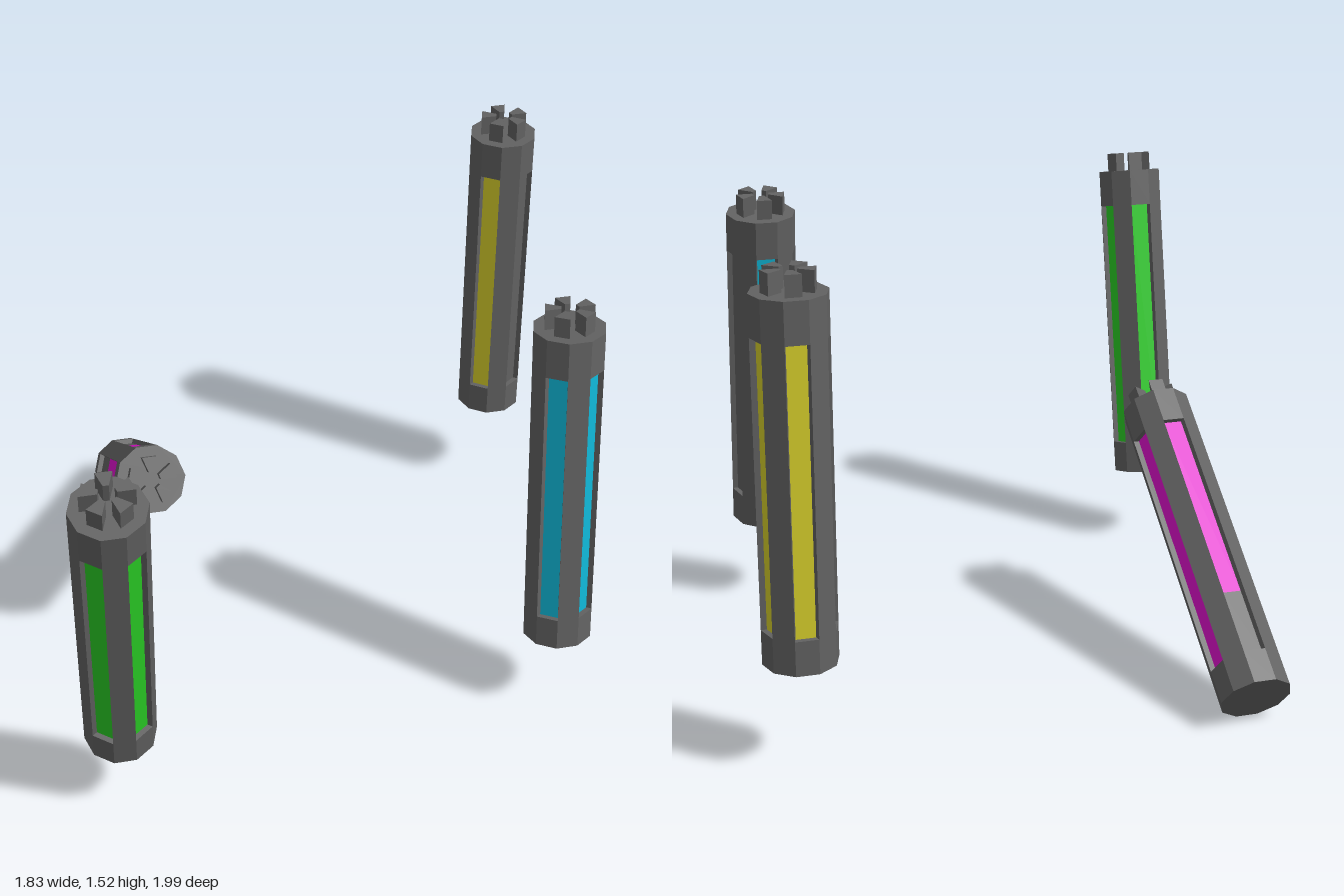
import * as THREE from 'three';

const STEP = Math.PI / 5;          // ten-sided body
const R = 0.115, R_IN = 0.097;     // outer shell and recessed window radius
const LENGTH = 1.122, WIN_LOW = 0.11, WIN_HIGH = 0.995;
const WINDOWS = [1, 3, 5, 7, 9];   // window faces; pillars take the even faces

const mat = (name, color) => {
  const m = new THREE.MeshStandardMaterial({ color });
  m.name = name;
  return m;
};

// Upright prism from [radius, angle] corners, angle measured from +z toward +x
function prism(corners, y0, y1) {
  const shape = new THREE.Shape(
    corners.map(([r, a]) => new THREE.Vector2(r * Math.sin(a), -r * Math.cos(a))));
  const g = new THREE.ExtrudeGeometry(shape, { depth: y1 - y0, bevelEnabled: false });
  return g.rotateX(-Math.PI / 2).translate(0, y0, 0);
}

// Full ten-sided drum
const drum = (r, y0, y1) =>
  prism(Array.from({ length: 10 }, (_, i) => [r, (i + 0.5) * STEP]), y0, y1);

// One sector of a ring, centred on a face
function sector(face, r0, r1, y0, y1, half = STEP / 2) {
  const a = face * STEP;
  return prism([[r0, a - half], [r1, a - half], [r1, a + half], [r0, a + half]], y0, y1);
}

// greyUpTo: window face -> height below which its panel is plain casing colour
function canister(name, casing, glow, greyUpTo = {}) {
  const group = new THREE.Group();
  group.name = name;
  const add = (part, geometry, material) => {
    const mesh = new THREE.Mesh(geometry, material);
    mesh.name = part;
    group.add(mesh);
  };

  add('baseCap', drum(R, 0, WIN_LOW), casing);
  add('topCap', drum(R, WIN_HIGH, LENGTH), casing);
  add('core', drum(R_IN - 0.008, WIN_LOW, WIN_HIGH), casing);

  for (const face of WINDOWS) {
    // pillar beside each window
    add('pillar', sector(face - 1, 0.08, R, WIN_LOW, WIN_HIGH), casing);
    // recessed window, partly or fully blank where listed
    const split = greyUpTo[face] ?? WIN_LOW;
    if (split > WIN_LOW) add('blankPanel', sector(face, R_IN - 0.009, R_IN, WIN_LOW, split), casing);
    if (split < WIN_HIGH) add('window', sector(face, R_IN - 0.009, R_IN, split, WIN_HIGH), glow);
    // prong of the top connector
    add('prong', sector(face, 0.028, 0.08, LENGTH, LENGTH + 0.065), casing);
  }
  return group;
}

export function createModel() {
  const model = new THREE.Group();
  model.name = 'canisters';
  const casing = mat('casingGrey', 0x626262);

  // name, glow colour, base centre, forward lean, blank panels
  const layout = [
    ['greenCanister', mat('glowGreen', 0x2bd226), [-0.8, 0.263, 0.649], 0.22, {}],
    ['cyanCanister', mat('glowCyan', 0x10b6d6), [0.676, 0.298, 0.51], -0.113, { 3: WIN_HIGH }],
    ['yellowCanister', mat('glowYellow', 0xd8d02c), [0.8, 0.34, -0.768], 0, { 1: WIN_HIGH }],
    ['magentaCanister', mat('glowMagenta', 0xe010cc), [-0.584, 0.096, -0.93], 0.963, { 5: 0.33, 7: 0.42 }],
  ];
  for (const [name, glow, position, lean, blanks] of layout) {
    const c = canister(name, casing, glow, blanks);
    c.position.set(...position);
    c.rotation.x = lean;
    model.add(c);
  }
  return model;
}
